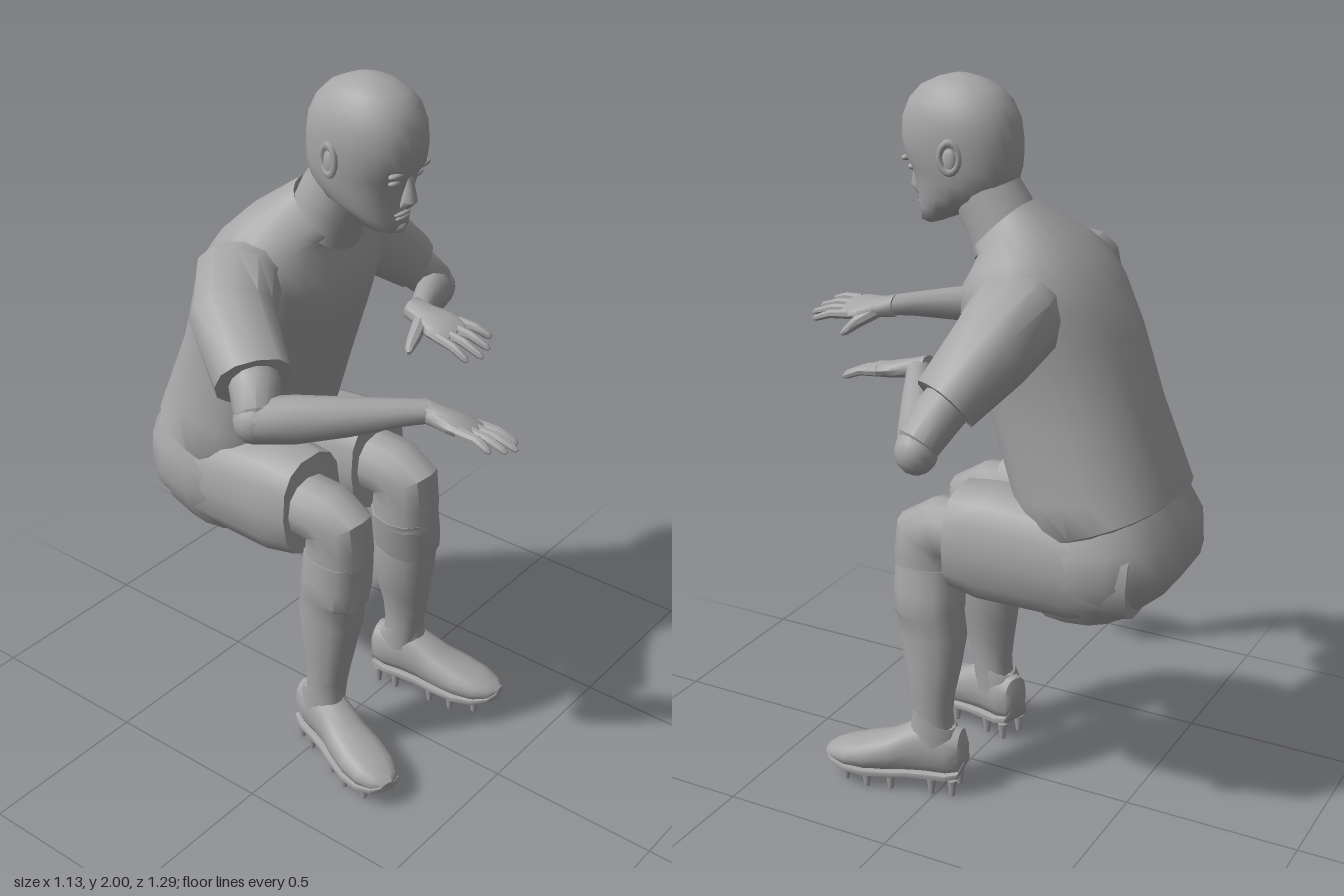
import * as THREE from 'three';
import { toCreasedNormals } from 'three/addons/utils/BufferGeometryUtils.js';

const grey = new THREE.MeshStandardMaterial({ color: 0xa6a6a6, side: THREE.DoubleSide });
grey.name = 'plain grey';
const V = (x, y, z) => new THREE.Vector3(x, y, z);

// Skin a row of rings {c,u,v}; p squares the ellipse, caps closes the start and end
function loft(name, rings, { n = 16, p = 2, caps = [true, true], crease = 0.75 } = {}) {
  const m = Math.floor(rings.length / 2);
  const dir = rings[m].c.clone().sub(rings[m - 1].c);
  const flip = rings[m].u.clone().cross(rings[m].v).dot(dir) < 0 ? -1 : 1;
  const pos = [], idx = [];
  const se = (t) => Math.sign(t) * Math.pow(Math.abs(t), 2 / p);
  for (const r of rings) for (let j = 0; j < n; j++) {
    const a = (j / n) * Math.PI * 2;
    const q = r.c.clone().addScaledVector(r.u, se(Math.cos(a))).addScaledVector(r.v, flip * se(Math.sin(a)));
    pos.push(q.x, q.y, q.z);
  }
  for (let i = 0; i < rings.length - 1; i++) for (let j = 0; j < n; j++) {
    const a = i * n + j, b = i * n + (j + 1) % n;
    idx.push(a, b, a + n, b, b + n, a + n);
  }
  [0, rings.length - 1].forEach((r, k) => {
    if (!caps[k]) return;
    const c = pos.length / 3;
    pos.push(...rings[r].c.toArray());
    for (let j = 0; j < n; j++) {
      const a = r * n + j, b = r * n + (j + 1) % n;
      idx.push(...(k ? [a, b, c] : [b, a, c]));
    }
  });
  const g = new THREE.BufferGeometry();
  g.setAttribute('position', new THREE.Float32BufferAttribute(pos, 3));
  g.setIndex(idx);
  const mesh = new THREE.Mesh(toCreasedNormals(g, crease), grey);
  mesh.name = name;
  return mesh;
}

// Ring given by its front point, back point, half width and x centre
const sec = ([fz, fy, bz, by, hw, cx = -0.02]) => ({
  c: V(cx, (fy + by) / 2, (fz + bz) / 2), u: V(hw, 0, 0), v: V(0, (fy - by) / 2, (fz - bz) / 2),
});
const body = (name, rows, opt) => loft(name, rows.map(sec), opt);

// Limb along points [x, y, z, radius along side, other radius]
function limb(name, pts, side = V(1, 0, 0), opt) {
  const c = pts.map((q) => V(q[0], q[1], q[2]));
  return loft(name, pts.map((q, i) => {
    const t = c[Math.min(i + 1, c.length - 1)].clone().sub(c[Math.max(i - 1, 0)]).normalize();
    const u = side.clone().addScaledVector(t, -side.dot(t)).normalize();
    const v = t.clone().cross(u);
    return { c: c[i], u: u.multiplyScalar(q[3]), v: v.multiplyScalar(q[4] ?? q[3]) };
  }), opt);
}

function ball(name, x, y, z, rx, ry, rz) {
  const m = new THREE.Mesh(new THREE.SphereGeometry(1, 14, 10), grey);
  m.name = name;
  m.position.set(x, y, z);
  m.scale.set(rx, ry, rz);
  return m;
}

// Hand pointing along +z, thumb on the s side
function hand(name, s, thumbTip) {
  const g = new THREE.Group();
  g.name = name;
  g.add(limb('palm', [[0, 0, -0.03, 0.032, 0.03], [0, 0, 0.02, 0.04, 0.026], [0, 0, 0.07, 0.06, 0.023],
    [0, 0, 0.115, 0.061, 0.018], [0, 0, 0.13, 0.052, 0.01]], V(1, 0, 0), { n: 12, p: 2.4 }));
  [0.095, 0.115, 0.105, 0.08].forEach((len, i) => {
    const x = s * (0.046 - i * 0.031), k = s * (0.01 - i * 0.009);
    g.add(limb('finger', [[x, 0, 0.1, 0.015], [x + k * 0.5, 0.004, 0.12 + len * 0.4, 0.013],
      [x + k, -0.006, 0.12 + len * 0.9, 0.01], [x + k, -0.009, 0.12 + len, 0.005]], V(1, 0, 0), { n: 8 }));
  });
  const [tx, ty, tz] = thumbTip;
  g.add(limb('thumb', [[s * 0.015, -0.004, 0.02, 0.022], [s * (0.02 + tx * 0.5), ty * 0.4, 0.02 + tz * 0.45, 0.019],
    [s * tx * 0.9, ty * 0.85, tz * 0.88, 0.013], [s * tx, ty, tz, 0.006]], V(0, 1, 0), { n: 8 }));
  return g;
}

// Boot pointing along +z with studs below
function boot(name) {
  const g = new THREE.Group();
  g.name = name;
  const rows = [[-0.072, 0.09, 0.16, 0.025], [-0.058, 0.06, 0.195, 0.045], [-0.02, 0.052, 0.205, 0.054],
    [0.04, 0.05, 0.215, 0.055], [0.09, 0.047, 0.195, 0.057], [0.15, 0.042, 0.158, 0.066],
    [0.22, 0.04, 0.133, 0.074], [0.28, 0.043, 0.113, 0.068], [0.325, 0.05, 0.097, 0.047], [0.347, 0.06, 0.082, 0.02]];
  g.add(loft('shoe upper', rows.map(([z, b, t, w]) => ({ c: V(0, (b + t) / 2, z), u: V(w, 0, 0), v: V(0, (t - b) / 2, 0) })),
    { p: 2.5 }));
  g.add(loft('sole', rows.map(([z, b, , w]) => ({ c: V(0, b + 0.008, z), u: V(w + 0.004, 0, 0), v: V(0, 0.011, 0) })),
    { p: 5 }));
  g.add(body('ankle collar', [[0.1, 0.15, -0.06, 0.13, 0.053, 0], [0.088, 0.22, -0.055, 0.18, 0.056, 0],
    [0.085, 0.265, -0.04, 0.2, 0.054, 0]], { caps: [false, false] }));
  const spots = [[0.035, -0.04], [0.04, 0.02], [0.05, 0.14], [0.056, 0.21], [0.036, 0.28]];
  for (const s of [-1, 1]) for (const [x, z] of spots) {
    const stud = new THREE.Mesh(new THREE.CylinderGeometry(0.015, 0.008, 0.05, 8), grey);
    stud.name = 'stud';
    stud.position.set(s * x, 0.025, z);
    g.add(stud);
  }
  return g;
}

function makeHead() {
  const g = new THREE.Group();
  g.name = 'head';
  g.add(body('skull', [[0.13, 1.604, 0.09, 1.612, 0.028], [0.147, 1.615, 0.04, 1.632, 0.062],
    [0.148, 1.65, -0.02, 1.665, 0.084], [0.152, 1.685, -0.08, 1.69, 0.1], [0.162, 1.73, -0.12, 1.73, 0.11],
    [0.172, 1.76, -0.13, 1.765, 0.116], [0.193, 1.79, -0.133, 1.8, 0.12], [0.2, 1.84, -0.132, 1.84, 0.124],
    [0.196, 1.89, -0.124, 1.89, 0.121], [0.178, 1.935, -0.102, 1.935, 0.107], [0.147, 1.968, -0.066, 1.97, 0.084],
    [0.1, 1.99, -0.02, 1.99, 0.05], [0.06, 2, 0.02, 2, 0.018]], { n: 28, p: 2.15, crease: 1.2 }));
  g.add(body('neck', [[-0.015, 1.52, -0.18, 1.65, 0.1], [0.005, 1.58, -0.155, 1.7, 0.092],
    [0.03, 1.63, -0.125, 1.74, 0.09], [0.05, 1.69, -0.1, 1.78, 0.085]], { n: 20 }));
  g.add(limb('nose', [[-0.02, 1.775, 0.165, 0.012], [-0.02, 1.735, 0.168, 0.014], [-0.02, 1.7, 0.167, 0.023, 0.021],
    [-0.02, 1.682, 0.155, 0.02, 0.012]], V(1, 0, 0), { n: 10 }));
  g.add(ball('upper lip', -0.02, 1.661, 0.146, 0.033, 0.007, 0.012), ball('lower lip', -0.02, 1.649, 0.146, 0.028, 0.008, 0.011));
  g.add(ball('chin', -0.02, 1.62, 0.132, 0.028, 0.016, 0.02));
  for (const s of [-1, 1]) {
    g.add(ball('eye', -0.02 + s * 0.046, 1.757, 0.155, 0.021, 0.009, 0.013));
    g.add(ball('eyebrow', -0.02 + s * 0.05, 1.782, 0.167, 0.033, 0.009, 0.014));
    const ear = new THREE.Mesh(new THREE.TorusGeometry(0.026, 0.008, 6, 16), grey);
    ear.name = 'ear rim';
    ear.position.set(-0.02 + s * 0.122, 1.805, 0.008);
    ear.rotation.set(0, Math.PI / 2 + s * 0.25, 0);
    ear.scale.y = 1.45;
    g.add(ear, ball('ear', -0.02 + s * 0.118, 1.795, 0.01, 0.01, 0.034, 0.02));
  }
  return g;
}

function makeLeg(name, s, knee, shin, ankle, yaw) {
  const g = new THREE.Group();
  g.name = name;
  g.add(limb('thigh and knee', [[knee, 0.775, -0.25, 0.09], [knee, 0.793, -0.04, 0.087], [knee, 0.79, 0.02, 0.087, 0.09],
    [knee, 0.765, 0.058, 0.086, 0.1], [knee, 0.71, 0.063, 0.084, 0.094], [knee, 0.64, 0.058, 0.083, 0.096]],
    V(1, 0, 0), { n: 12, p: 2.3 }));
  g.add(limb('sock', [[knee, 0.672, 0.058, 0.087, 0.097], [(knee + shin) / 2, 0.6, 0.055, 0.087, 0.1],
    [shin, 0.546, 0.049, 0.083, 0.099], [shin, 0.54, 0.045, 0.078, 0.094], [shin, 0.47, 0.038, 0.077, 0.096],
    [(shin + ankle) / 2, 0.38, 0.034, 0.066, 0.081], [ankle, 0.3, 0.033, 0.056, 0.067],
    [ankle, 0.24, 0.03, 0.051, 0.058], [ankle, 0.14, 0.02, 0.05, 0.055]], V(1, 0, 0), { n: 12, p: 2.3 }));
  const shoe = boot('boot');
  shoe.position.set(ankle, 0, 0);
  shoe.rotation.y = yaw;
  // shorts leg, open at the knee end
  const cx = -0.015 + s * 0.148;
  g.add(limb('shorts leg', [[cx - s * 0.015, 0.77, -0.56, 0.1, 0.115], [cx - s * 0.01, 0.775, -0.4, 0.13, 0.15],
    [cx, 0.788, -0.14, 0.13, 0.163], [cx, 0.793, -0.045, 0.122, 0.148], [cx, 0.79, -0.05, 0.11, 0.136],
    [cx, 0.79, -0.12, 0.105, 0.13]], V(1, 0, 0), { n: 14, p: 2.6, caps: [true, false] }), shoe);
  return g;
}

function makeArm(name, sleeve, upper, fore) {
  const g = new THREE.Group();
  g.name = name;
  const up = V(0, 1, 0), e = fore[0];
  g.add(limb('sleeve', sleeve, up, { n: 12, p: 2.3, caps: [true, false] }));
  g.add(limb('upper arm', upper, up, { n: 12 }));
  g.add(limb('forearm', fore, up, { n: 12 }), ball('elbow', e[0], e[1], e[2], 0.055, 0.06, 0.055));
  return g;
}

export function createModel() {
  const man = new THREE.Group();
  man.name = 'crouching footballer';
  man.add(makeHead());

  // Shirt, from the hem up to the collar
  man.add(body('shirt', [[-0.2, 0.79, -0.6, 0.945, 0.246], [-0.2, 0.8, -0.615, 0.96, 0.256],
    [-0.165, 0.93, -0.6, 1.01, 0.243, -0.015], [-0.1, 1.13, -0.53, 1.18, 0.232, -0.015],
    [-0.04, 1.32, -0.458, 1.37, 0.246], [-0.02, 1.42, -0.4, 1.48, 0.268], [-0.035, 1.495, -0.345, 1.545, 0.27],
    [-0.05, 1.53, -0.285, 1.605, 0.215], [-0.045, 1.54, -0.2, 1.665, 0.135], [-0.02, 1.55, -0.165, 1.69, 0.1],
    [-0.02, 1.535, -0.165, 1.675, 0.096]], { n: 24, p: 2.4, caps: [true, false], crease: 1 }));

  // Shorts seat
  man.add(body('shorts seat', [[-0.2, 0.85, -0.59, 0.97, 0.235], [-0.17, 0.8, -0.645, 0.87, 0.268],
    [-0.16, 0.74, -0.652, 0.77, 0.272], [-0.2, 0.67, -0.6, 0.69, 0.25], [-0.24, 0.625, -0.53, 0.628, 0.215]],
    { n: 18, p: 2.5 }));

  man.add(makeLeg('right leg', -1, -0.175, -0.185, -0.196, -0.3));
  man.add(makeLeg('left leg', 1, 0.127, 0.15, 0.172, 0.19));

  man.add(makeArm('right arm',
    [[-0.15, 1.45, -0.2, 0.11], [-0.27, 1.455, -0.19, 0.115, 0.12], [-0.36, 1.42, -0.13, 0.107, 0.112],
      [-0.455, 1.325, 0.02, 0.09, 0.1], [-0.452, 1.328, 0.015, 0.08, 0.088]],
    [[-0.38, 1.38, -0.07, 0.065], [-0.46, 1.315, 0.03, 0.066], [-0.51, 1.265, 0.075, 0.055], [-0.525, 1.255, 0.09, 0.03]],
    [[-0.51, 1.255, 0.07, 0.06, 0.055], [-0.45, 1.26, 0.15, 0.062, 0.058], [-0.37, 1.267, 0.25, 0.05],
      [-0.28, 1.275, 0.35, 0.034, 0.038], [-0.235, 1.275, 0.4, 0.028, 0.035]]));
  man.add(makeArm('left arm',
    [[0.12, 1.45, -0.22, 0.11], [0.23, 1.445, -0.245, 0.115, 0.12], [0.32, 1.385, -0.225, 0.107, 0.108],
      [0.435, 1.275, -0.16, 0.082, 0.088], [0.43, 1.28, -0.163, 0.074, 0.078]],
    [[0.36, 1.34, -0.2, 0.064], [0.45, 1.25, -0.15, 0.064], [0.505, 1.19, -0.125, 0.058], [0.52, 1.17, -0.118, 0.03]],
    [[0.515, 1.172, -0.125, 0.06, 0.05], [0.44, 1.192, -0.085, 0.06, 0.05], [0.34, 1.228, -0.03, 0.047, 0.043],
      [0.25, 1.258, 0.02, 0.034], [0.2, 1.267, 0.045, 0.028, 0.033]]));

  const right = hand('right hand', 1, [0.085, -0.045, 0.12]);
  right.position.set(-0.235, 1.272, 0.405);
  right.rotation.set(0.12, 0.1, -0.25);
  const left = hand('left hand', -1, [0.145, -0.005, 0.085]);
  left.position.set(0.195, 1.267, 0.048);
  left.rotation.set(0.2, -0.03, 0.15);
  man.add(right, left);
  return man;
}
